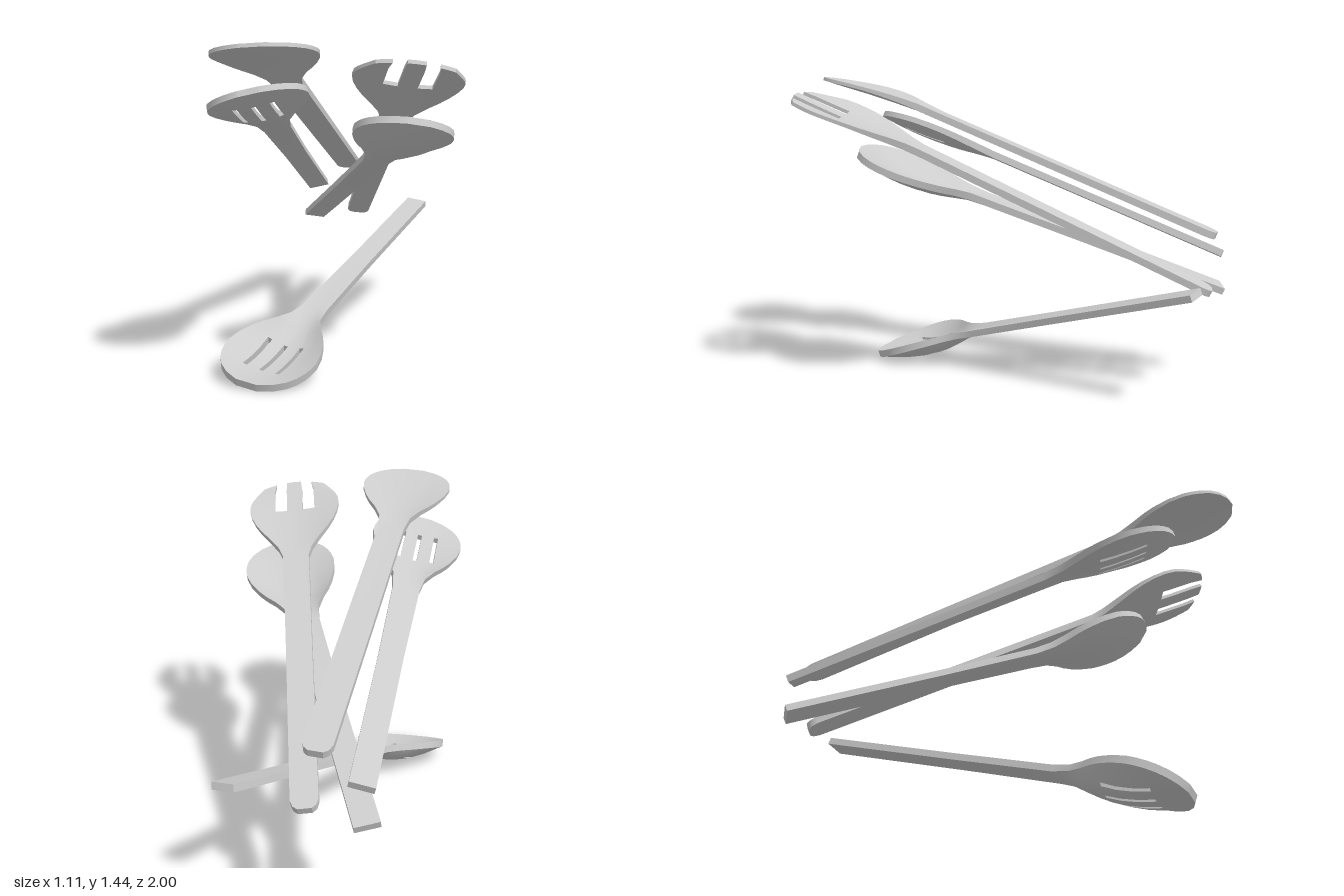
import * as THREE from 'three';
import { toCreasedNormals } from 'three/addons/utils/BufferGeometryUtils.js';

const THICK = 0.032; // handle thickness
const NECK = 0.56; // distance from the tip to the bend at the neck
const CAP = 0.17; // inner columns run parallel once the head is this wide

// Head outlines: [distance back from the tip, half width]
const SPOON_HEAD = [[0.62, 0.062], [0.53, 0.076], [0.46, 0.114], [0.41, 0.15], [0.36, 0.178], [0.29, 0.205],
  [0.22, 0.217], [0.18, 0.214], [0.14, 0.205], [0.1, 0.188], [0.06, 0.158], [0.025, 0.112], [0, 0.05]];
const FORK_HEAD = [[0.62, 0.062], [0.56, 0.08], [0.49, 0.12], [0.42, 0.165], [0.36, 0.195], [0.3, 0.215],
  [0.24, 0.225], [0.18, 0.223], [0.12, 0.212], [0.06, 0.19], [0, 0.155]];

// Cross-section columns, and openings as [centre, half width]
const KINDS = {
  plain: { head: SPOON_HEAD, cols: [-0.125, -0.08, -0.04, 0, 0.04, 0.08, 0.125], openings: [] },
  slotted: { head: SPOON_HEAD, cols: [-0.135, -0.102, -0.082, -0.055, -0.022, -0.002, 0.025, 0.058, 0.078, 0.125],
    openings: [[-0.092, 0.01], [-0.012, 0.01], [0.068, 0.01]], from: 0.14, to: 0.36 },
  fork: { head: FORK_HEAD, cols: [-0.135, -0.1, -0.04, 0, 0.04, 0.1, 0.135],
    openings: [[-0.07, 0.03], [0.07, 0.03]], from: 0, to: 0.24 },
};

// Utensil along +z from z = 0, top face near y = 0, raised by lift at the neck
function utensilGeometry({ kind, length, handle, round, depth, arch, lift, headThick }) {
  const { head, cols, openings, from, to } = KINDS[kind];
  const columns = [-CAP, ...cols, CAP];
  const start = round
    ? [[length, handle * 0.5], [length - 0.015, handle * 0.82], [length - 0.045, handle]]
    : [[length, handle]];
  const rows = [...start, [length * 0.6, handle * 1.02], ...head];

  const point = (i, j, under) => {
    const [s, w] = rows[i];
    const last = columns.length - 1;
    const x = j === 0 ? -w : j === last ? w : columns[j] * Math.min(w, CAP) / CAP;
    const swell = s < 0.6 ? Math.sin(Math.PI * s / 0.6) : 0;
    const bend = lift * (s > NECK ? (length - s) / (length - NECK) : Math.sin(Math.PI / 2 * s / NECK));
    const y = bend + swell * (arch - (depth + arch) * (1 - (x / w) ** 2));
    const thick = THREE.MathUtils.lerp(headThick, THICK, THREE.MathUtils.smoothstep(s, 0.25, 0.6));
    // fork tips follow a shallow arc
    const back = kind === 'fork' && s < 0.2 ? 1.5 * x * x * (1 - s / 0.2) : 0;
    return [x, y - (under ? thick : 0), length - s - back];
  };
  const solid = (i, j) => {
    if (i < 0 || j < 0 || i >= rows.length - 1 || j >= columns.length - 1) return false;
    const s = (rows[i][0] + rows[i + 1][0]) / 2;
    const x = (columns[j] + columns[j + 1]) / 2;
    return !(s > from && s < to && openings.some(([c, h]) => Math.abs(x - c) < h));
  };

  const positions = [];
  const quad = (a, b, c, d) => positions.push(...a, ...b, ...c, ...a, ...c, ...d);
  for (let i = 0; i < rows.length - 1; i++) {
    for (let j = 0; j < columns.length - 1; j++) {
      if (!solid(i, j)) continue;
      const corners = [[i, j], [i + 1, j], [i + 1, j + 1], [i, j + 1]];
      const top = corners.map(([a, b]) => point(a, b, false));
      const low = corners.map(([a, b]) => point(a, b, true));
      quad(...top);
      quad(low[3], low[2], low[1], low[0]);
      // walls wherever the neighbouring cell is empty
      [[i, j - 1], [i + 1, j], [i, j + 1], [i - 1, j]].forEach(([a, b], k) => {
        const n = (k + 1) % 4;
        if (!solid(a, b)) quad(low[k], low[n], top[n], top[k]);
      });
    }
  }
  const geometry = new THREE.BufferGeometry();
  geometry.setAttribute('position', new THREE.Float32BufferAttribute(positions, 3));
  return toCreasedNormals(geometry, 0.6);
}

// Handle end, head tip, and sideways rise (roll) of each utensil
const UTENSILS = [
  { name: 'largeSpoon', kind: 'plain', end: [-0.305, 0.75, -0.985], tip: [-0.195, 1.44, 0.995], roll: 0.06,
    handle: 0.061, round: true, depth: 0.015, arch: 0.01, lift: 0.045, headThick: 0.016 },
  { name: 'upperSlottedSpoon', kind: 'slotted', end: [-0.49, 0.635, -0.98], tip: [-0.305, 1.255, 0.725], roll: 0.23,
    handle: 0.053, round: false, depth: 0.03, arch: 0.01, lift: 0.025, headThick: 0.026 },
  { name: 'servingFork', kind: 'fork', end: [-0.26, 0.495, -0.98], tip: [0.4, 1.375, 0.8], roll: -0.12,
    handle: 0.057, round: true, depth: 0.015, arch: 0.01, lift: 0.025, headThick: 0.016 },
  { name: 'smallSpoon', kind: 'plain', end: [-0.51, 0.465, -0.975], tip: [0.355, 1.13, 0.495], roll: -0.19,
    handle: 0.054, round: false, depth: 0.045, arch: 0.01, lift: 0.005, headThick: 0.03 },
  { name: 'lowerSlottedSpoon', kind: 'slotted', end: [0.08, 0.55, -0.98], tip: [-0.325, 0.038, 0.745], roll: -0.135,
    handle: 0.053, round: false, depth: 0.06, arch: 0.015, lift: 0.005, headThick: 0.034 },
];

export function createModel() {
  const group = new THREE.Group();
  group.name = 'utensilSet';
  const material = new THREE.MeshStandardMaterial({ color: 0xcccccc });
  material.name = 'lightGrey';

  for (const spec of UTENSILS) {
    const end = new THREE.Vector3(...spec.end);
    const forward = new THREE.Vector3(...spec.tip).sub(end);
    const length = forward.length();
    forward.normalize();
    const side = new THREE.Vector3(1, spec.roll, -(forward.x + forward.y * spec.roll) / forward.z).normalize();
    const up = new THREE.Vector3().crossVectors(forward, side);

    const mesh = new THREE.Mesh(utensilGeometry({ ...spec, length }), material);
    mesh.name = spec.name;
    mesh.quaternion.setFromRotationMatrix(new THREE.Matrix4().makeBasis(side, up, forward));
    mesh.position.copy(end);
    group.add(mesh);
  }
  return group;
}
